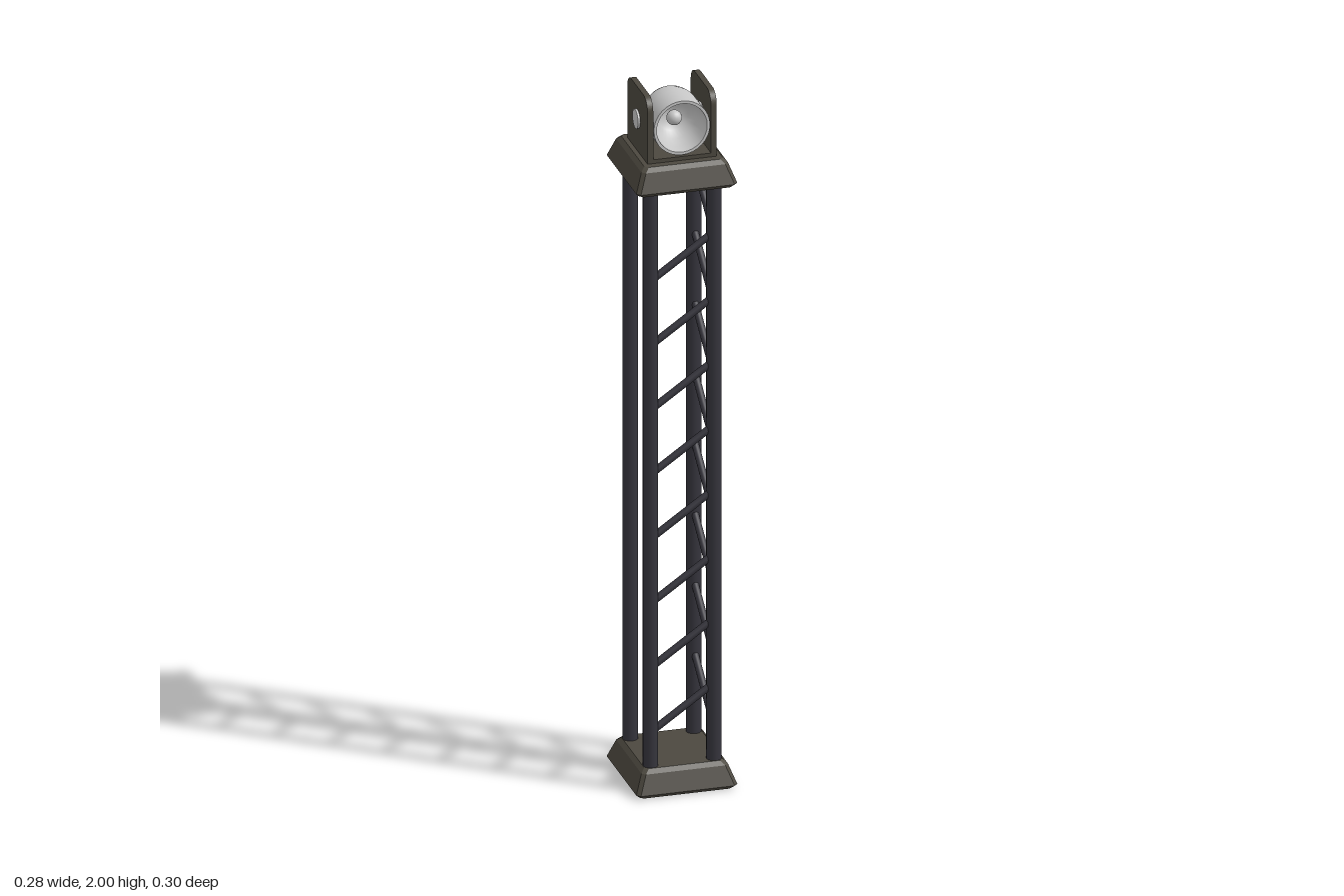
import * as THREE from 'three';

const mat = (name, color, side = THREE.FrontSide) => {
  const m = new THREE.MeshStandardMaterial({ color, side });
  m.name = name;
  return m;
};

// Stack of chamfered rectangles: each section is [y, halfX, halfZ]
function chamferedLoft(sections, c) {
  const ring = ([y, hx, hz]) => [
    [hx, hz - c], [hx, c - hz], [hx - c, -hz], [c - hx, -hz],
    [-hx, c - hz], [-hx, hz - c], [c - hx, hz], [hx - c, hz],
  ].map(([x, z]) => [x, y, z]);
  const rings = sections.map(ring);
  const pos = [];
  const tri = (a, b, d) => pos.push(...a, ...b, ...d);
  for (let s = 0; s < rings.length - 1; s++) {
    const lo = rings[s], hi = rings[s + 1];
    for (let i = 0; i < 8; i++) {
      const j = (i + 1) % 8;
      tri(lo[i], lo[j], hi[j]);
      tri(lo[i], hi[j], hi[i]);
    }
  }
  const top = rings[rings.length - 1], bottom = rings[0];
  for (let i = 1; i < 7; i++) {
    tri(top[0], top[i], top[i + 1]);
    tri(bottom[0], bottom[i + 1], bottom[i]);
  }
  const g = new THREE.BufferGeometry();
  g.setAttribute('position', new THREE.Float32BufferAttribute(pos, 3));
  g.computeVertexNormals();
  return g;
}

export function createModel() {
  const model = new THREE.Group();
  model.name = 'lightTower';
  const plateMat = mat('darkBrownGrey', 0x4c483f);
  const frameMat = mat('darkBlueGrey', 0x36353d);
  const lampMat = mat('lightGrey', 0xc6c6c6, THREE.DoubleSide);

  const add = (name, geometry, material, x = 0, y = 0, z = 0, parent = model) => {
    const m = new THREE.Mesh(geometry, material);
    m.name = name;
    m.position.set(x, y, z);
    parent.add(m);
    return m;
  };

  // Round bar between two points
  const bar = (name, a, b, r) => {
    const dir = b.clone().sub(a);
    const m = add(name, new THREE.CylinderGeometry(r, r, dir.length(), 12), frameMat);
    m.position.copy(a).add(b).multiplyScalar(0.5);
    m.quaternion.setFromUnitVectors(new THREE.Vector3(0, 1, 0), dir.normalize());
  };
  const V = (x, y, z) => new THREE.Vector3(x, y, z);

  // Foot and head plates
  const plinth = chamferedLoft([
    [0, 0.129, 0.139], [0.011, 0.14, 0.149], [0.064, 0.12, 0.129], [0.075, 0.109, 0.117],
  ], 0.01);
  add('footPlate', plinth, plateMat);
  add('headPlate', plinth, plateMat, 0, 1.74, 0);

  // Four uprights
  const px = 0.088, pz = 0.095;
  for (const sx of [-1, 1]) {
    for (const sz of [-1, 1]) {
      bar('upright', V(sx * px, 0.06, sz * pz), V(sx * px, 1.75, sz * pz), 0.021);
    }
  }

  // Diagonal braces on the front and the +x side only
  for (let i = 0; i < 8; i++) {
    const yf = 0.17 + i * 0.1865;
    bar('frontBrace', V(-px, yf, pz), V(px, yf + 0.122, pz), 0.01);
    const ys = 0.17 + i * 0.2035;
    bar('sideBrace', V(px, ys, pz), V(px, ys + 0.142, -pz), 0.01);
  }

  // Lamp bracket: floor and two cheeks with rounded top corners
  add('bracketFloor', new THREE.BoxGeometry(0.19, 0.014, 0.19), plateMat, 0, 1.819, 0);
  const h = 0.095, r = 0.037, y0 = 1.813, y1 = 2;
  const cheek = new THREE.Shape();
  cheek.moveTo(-h, y0);
  cheek.lineTo(h, y0);
  cheek.lineTo(h, y1 - r);
  cheek.absarc(h - r, y1 - r, r, 0, Math.PI / 2, false);
  cheek.lineTo(r - h, y1);
  cheek.absarc(r - h, y1 - r, r, Math.PI / 2, Math.PI, false);
  cheek.closePath();
  const cheekGeo = new THREE.ExtrudeGeometry(cheek, { depth: 0.016, bevelEnabled: false, curveSegments: 8 });
  cheekGeo.translate(0, 0, -0.008);
  cheekGeo.rotateY(Math.PI / 2);

  const lampY = 1.908;
  const pinGeo = new THREE.CylinderGeometry(0.027, 0.027, 0.03, 20);
  pinGeo.rotateZ(Math.PI / 2);
  for (const s of [-1, 1]) {
    add('bracketCheek', cheekGeo, plateMat, s * 0.088, 0, 0);
    add('pivotPin', pinGeo, lampMat, s * 0.087, lampY, 0);
  }

  // Lamp: domed shell with flat back, rim and hollow reflector, facing +z
  const lamp = new THREE.Group();
  lamp.name = 'lamp';
  lamp.position.set(0, lampY, 0);
  model.add(lamp);
  const turned = (name, points) => {
    const g = new THREE.LatheGeometry(points.map(([a, b]) => new THREE.Vector2(a, b)), 32);
    g.rotateX(Math.PI / 2);
    add(name, g, lampMat, 0, 0, 0, lamp);
  };
  turned('lampBack', [[0, -0.076], [0.03, -0.076]]);
  turned('lampShell', [[0.03, -0.076], [0.047, -0.066], [0.062, -0.05], [0.072, -0.03], [0.077, -0.008], [0.078, 0.02], [0.078, 0.094]]);
  turned('lampRim', [[0.078, 0.094], [0.07, 0.094]]);
  turned('reflector', [[0.07, 0.094], [0.067, 0.06], [0.058, 0.03], [0.042, 0.008], [0.022, -0.005], [0, -0.008]]);
  add('bulb', new THREE.SphereGeometry(0.021, 16, 12), lampMat, 0, 0, 0.02, lamp);

  return model;
}
